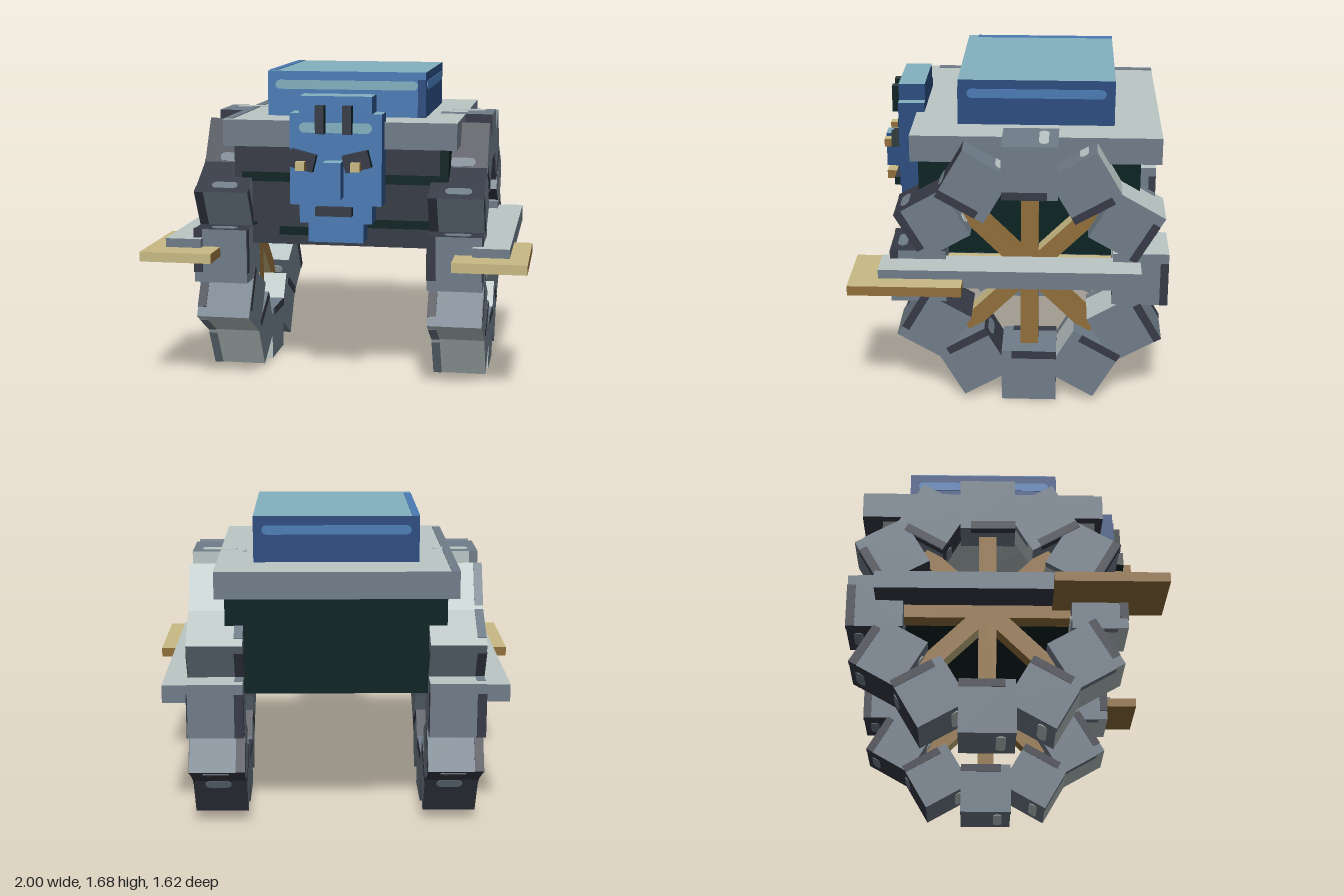
import * as THREE from 'three';

const paint = (name, color) => {
  const m = new THREE.MeshStandardMaterial({ color });
  m.name = name;
  return m;
};

export function createModel() {
  const pale = paint('paleGrey', 0xbac6c5), grey = paint('grey', 0x6f7c88), coal = paint('charcoal', 0x363a46);
  const hullGreen = paint('hullGreen', 0x0b2222);
  const sky = paint('paleBlue', 0x84b0c0), blue = paint('blue', 0x4a7bb5), navy = paint('navy', 0x2b4c80);
  const tan = paint('tan', 0xc8ba84), brown = paint('brown', 0x906e3a);

  // face order: +x, -x, top, bottom, front, back
  const greyFaces = [grey, grey, pale, coal, grey, grey];
  const blueFaces = [navy, navy, sky, navy, blue, navy];
  const woodFaces = [brown, brown, tan, brown, tan, brown];
  const trimFaces = [hullGreen, hullGreen, coal, hullGreen, coal, hullGreen];

  const model = new THREE.Group();
  model.name = 'vehicle';

  // box given by its limits on each axis
  function box(parent, name, [x0, x1], [y0, y1], [z0, z1], material) {
    const mesh = new THREE.Mesh(new THREE.BoxGeometry(x1 - x0, y1 - y0, z1 - z0), material);
    mesh.position.set((x0 + x1) / 2, (y0 + y1) / 2, (z0 + z1) / 2);
    mesh.name = name;
    parent.add(mesh);
    return mesh;
  }

  // thin round-ended plate, lying in xy and facing +z
  function pillGeometry(w, h) {
    const r = h / 2, s = new THREE.Shape();
    s.absarc(w / 2 - r, 0, r, -Math.PI / 2, Math.PI / 2);
    s.absarc(-w / 2 + r, 0, r, Math.PI / 2, Math.PI * 1.5);
    return new THREE.ExtrudeGeometry(s, { depth: 0.004, bevelEnabled: false, curveSegments: 4 });
  }
  function pill(parent, name, w, h, position, rotation, material) {
    const mesh = new THREE.Mesh(pillGeometry(w, h), material);
    mesh.position.set(...position);
    mesh.rotation.set(...rotation);
    mesh.name = name;
    parent.add(mesh);
  }

  // hull, deck and raised cabin
  box(model, 'hull', [-0.57, 0.57], [0.765, 1.29], [-0.66, 0.48],
    [hullGreen, hullGreen, hullGreen, hullGreen, coal, hullGreen]);
  const hullMarks = [
    [[-0.53, -0.2], [1.1, 1.15]], [[0.1, 0.57], [1.1, 1.15]], [[0.525, 0.57], [1.15, 1.29]],
    [[0.1, 0.57], [0.865, 0.91]], [[-0.57, -0.45], [0.865, 0.88]], [[-0.33, -0.1], [0.815, 0.86]],
  ];
  for (const [xs, ys] of hullMarks) box(model, 'hullMark', xs, ys, [0.479, 0.484], hullGreen);

  box(model, 'deck', [-0.62, 0.615], [1.29, 1.43], [-0.765, 0.522], greyFaces);
  box(model, 'deckEdgeStripe', [-0.62, -0.575], [1.429, 1.434], [-0.765, 0.475], grey);

  box(model, 'cabin', [-0.43, 0.425], [1.43, 1.67], [-0.525, 0.285], blueFaces);
  box(model, 'cabinRoofStripe', [-0.43, -0.39], [1.668, 1.673], [-0.525, 0.23], blue);
  box(model, 'cabinFrontStripe', [0.382, 0.425], [1.43, 1.63], [0.284, 0.288], navy);
  pill(model, 'cabinFrontHighlight', 0.77, 0.048, [-0.003, 1.598, 0.285], [0, 0, 0], sky);
  pill(model, 'cabinBackHighlight', 0.77, 0.048, [-0.003, 1.598, -0.525], [0, Math.PI, 0], blue);
  pill(model, 'cabinSideHighlight', 0.72, 0.048, [0.425, 1.598, -0.12], [0, Math.PI / 2, 0], blue);
  pill(model, 'cabinSideHighlight', 0.72, 0.048, [-0.43, 1.598, -0.12], [0, -Math.PI / 2, 0], blue);

  // mask on the front, stepped from crown to chin
  const mask = new THREE.Group();
  mask.name = 'mask';
  model.add(mask);
  const steps = [['crown', 0.19, 1.48, 1.57], ['cheeks', 0.24, 1.005, 1.48], ['jaw', 0.19, 0.91, 1.005], ['chin', 0.145, 0.81, 0.91]];
  for (const [name, w, y0, y1] of steps) box(mask, name, [-w, w], [y0, y1], [0.48, 0.62], blueFaces);
  pill(mask, 'foreheadBand', 0.38, 0.052, [0, 1.407, 0.62], [0, 0, 0], sky);
  box(mask, 'nose', [-0.05, 0.042], [1.05, 1.24], [0.62, 0.715], blueFaces);
  box(mask, 'mouth', [-0.1, 0.092], [0.955, 1.0], [0.62, 0.67], trimFaces);
  for (const x of [-0.075, 0.067]) box(mask, 'foreheadBar', [x - 0.023, x + 0.023], [1.38, 1.525], [0.62, 0.67], trimFaces);
  for (const [x, tilt] of [[-0.17, -0.24], [0.116, 0.24]]) {
    const brow = box(mask, 'brow', [x - 0.068, x + 0.068], [1.195, 1.285], [0.62, 0.668], trimFaces);
    brow.rotation.z = tilt;
    box(mask, 'eye', [x - 0.024, x + 0.024], [1.195, 1.24], [0.62, 0.713], woodFaces);
  }

  // one wheel: twelve tread blocks and four crossing spoke bars
  const S = 0.286, H = S / 2, R = 0.715 - H;
  function treadBlock() {
    const block = new THREE.Group();
    block.name = 'treadBlock';
    box(block, 'blockBody', [-H, H], [-H, H], [-H, H], [grey, grey, grey, grey, coal, pale]);
    for (const x of [-H, H]) {
      box(block, 'sideStripe', [x - 0.003, x + 0.003], [-H, -H + 0.042], [-0.09, H], coal);
    }
    box(block, 'edgeStripe', [-H, -H + 0.045], [-H - 0.003, -H + 0.003], [-0.09, H], coal);
    box(block, 'edgeStripe', [-H, -H + 0.045], [-0.09, H], [-H - 0.003, -H + 0.003], grey);
    pill(block, 'blockHighlight', 0.19, 0.05, [0.0, H, -0.07], [-Math.PI / 2, 0, 0], pale);
    pill(block, 'blockHighlight', 0.14, 0.05, [0.01, -0.085, H], [0, 0, 0], grey);
    return block;
  }
  function wheel(x) {
    const g = new THREE.Group();
    g.name = 'wheel';
    for (let i = 0; i < 12; i++) {
      const a = i * Math.PI / 6, block = treadBlock();
      block.position.set(0, R * Math.cos(a), R * Math.sin(a));
      block.rotation.x = -a;
      g.add(block);
    }
    for (let i = 0; i < 4; i++) {
      const spoke = box(g, 'spoke', [-0.05, 0.05], [-0.046, 0.046], [-0.47, 0.47],
        [brown, brown, tan, brown, brown, brown]);
      spoke.rotation.x = i * Math.PI / 4;
    }
    g.position.set(x, 0.715, -0.095);
    model.add(g);
  }

  // wheels, running boards and front planks on both sides
  for (const s of [-1, 1]) {
    const span = (a, b) => (s > 0 ? [a, b] : [-b, -a]);
    wheel(s * 0.619);
    box(model, 'runningBoard', span(0.713, 0.903), [0.718, 0.812], [-0.665, 0.665], greyFaces);
    box(model, 'frontPlank', span(0.62, 1.0), [0.714, 0.765], [0.237, 0.81], woodFaces);
  }
  return model;
}
